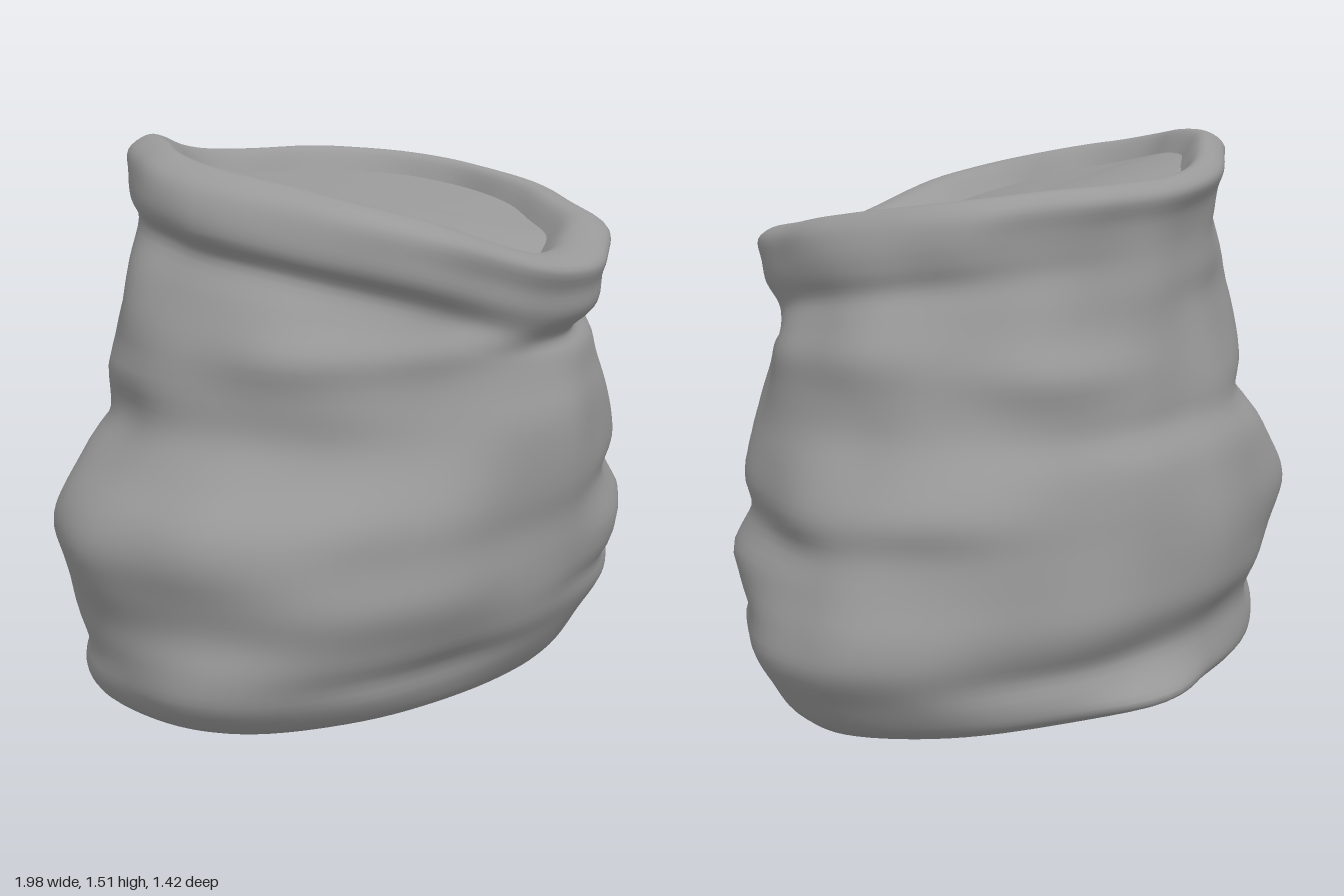
import * as THREE from 'three';

const SIDES = 96;
const TAU = Math.PI * 2;

// smooth interpolation through a list of values (u runs over list indices)
function spline(list, u, closed) {
  const n = list.length, i = Math.floor(u), t = u - i;
  const at = k => closed ? list[(k + n) % n] : list[Math.min(n - 1, Math.max(0, k))];
  const [a, b, c, d] = [at(i - 1), at(i), at(i + 1), at(i + 2)];
  return b + 0.5 * t * (c - a + t * (2 * a - 5 * b + 4 * c - d + t * (3 * (b - c) + d - a)));
}

// height of the mouth's crest around the sack, every 45 degrees from +x towards +z
const CREST = [1.36, 1.28, 1.22, 1.36, 1.46, 1.515, 1.43, 1.41];

// cross-sections: y, -x, +x, -z, +z extents, share of the mouth's slope
const CLOTH = [
  [0.025, 0.82, 0.84, 0.62, 0.53, 0],
  [0.06, 0.89, 0.89, 0.64, 0.56, 0],
  [0.13, 0.94, 0.94, 0.64, 0.60, 0],
  [0.22, 0.94, 0.99, 0.64, 0.65, 0],
  [0.31, 0.94, 0.98, 0.68, 0.68, 0],
  [0.41, 0.97, 0.94, 0.69, 0.69, 0],
  [0.51, 0.99, 0.91, 0.69, 0.69, 0],
  [0.60, 0.96, 0.90, 0.68, 0.70, 0],
  [0.70, 0.87, 0.86, 0.66, 0.70, 0],
  [0.80, 0.80, 0.81, 0.62, 0.69, 0],
  [0.90, 0.79, 0.79, 0.59, 0.66, 0.1],
  [1.00, 0.78, 0.78, 0.56, 0.64, 0.35],
  [1.09, 0.73, 0.73, 0.55, 0.63, 0.75],
  [1.16, 0.68, 0.69, 0.54, 0.64, 1],
  [1.22, 0.72, 0.70, 0.54, 0.68, 1],
  [1.28, 0.72, 0.70, 0.55, 0.69, 1],
  [1.34, 0.69, 0.68, 0.575, 0.71, 1],
  [1.375, 0.63, 0.64, 0.54, 0.65, 1],
  [1.37, 0.59, 0.60, 0.50, 0.57, 1],
  [1.31, 0.55, 0.58, 0.46, 0.50, 1],
];

// folds and bulges: angle in degrees, height, half-angle, half-height, depth
const FOLDS = [
  [68, 1.00, 22, 0.035, -0.03], [115, 1.02, 20, 0.05, 0.02],
  [50, 0.55, 22, 0.05, -0.03], [48, 0.42, 22, 0.05, 0.025],
  [55, 0.29, 26, 0.04, -0.03], [120, 0.18, 25, 0.04, -0.02],
  [162, 0.20, 15, 0.12, 0.04], [130, 0.38, 20, 0.09, 0.03],
  [140, 0.75, 18, 0.10, -0.02], [150, 1.02, 18, 0.06, 0.02],
  [15, 0.50, 16, 0.05, -0.02], [340, 0.62, 18, 0.07, 0.02],
  [290, 0.78, 28, 0.05, -0.015], [310, 0.95, 22, 0.07, 0.03],
  [235, 0.78, 22, 0.05, -0.03], [230, 0.50, 25, 0.10, 0.03],
  [255, 1.10, 25, 0.05, -0.01], [300, 0.18, 28, 0.045, -0.025],
  [290, 0.06, 14, 0.05, 0.06], [225, 0.17, 25, 0.05, -0.03],
  [205, 0.92, 18, 0.05, 0.02],
];

// point on the cloth at a given angle and section position
function clothPoint(angle, u) {
  const [y0, xl, xr, zb, zf, slope] = [0, 1, 2, 3, 4, 5].map(k => spline(CLOTH.map(r => r[k]), u, false));
  const c = Math.cos(angle), s = Math.sin(angle);
  // the left half is fuller than the right, most of all low down
  const power = c < 0 ? 0.95 : 1.07 - 0.09 * slope;
  let x = Math.sign(c) * Math.abs(c) ** power * (c < 0 ? xl : xr);
  let z = Math.sign(s) * Math.abs(s) ** power * (s < 0 ? zb : zf);
  let y = y0 + slope * (spline(CREST, angle / TAU * 8, true) - 1.37);
  let push = 0;
  for (const [deg, fy, wa, wy, depth] of FOLDS) {
    const da = ((angle * 360 / TAU - deg + 540) % 360 - 180) / wa;
    push += depth * Math.exp(-da * da - ((y - fy) / wy) ** 2);
  }
  // gentle wrinkles in the cloth
  const fade = Math.min(1, y0 / 0.15);
  push += fade * (0.005 * Math.sin(5 * angle + 7 * y) + 0.005 * Math.sin(9 * angle - 11 * y + 1)
    + 0.003 * Math.sin(14 * angle + 5 * y + 2));
  // slightly uneven bottom edge
  if (u < 2) y += 0.012 * Math.sin(2 * angle + 3.9) * (1 - u / 2);
  x += c * push;
  z += s * push;
  return [Math.max(-1, Math.min(1, x)), Math.max(0, y), z];
}

// closed loops joined into a smooth surface
function loft(rings) {
  const index = [];
  for (let r = 0; r < rings.length - 1; r++) {
    for (let i = 0; i < SIDES; i++) {
      const j = (i + 1) % SIDES, a = r * SIDES, b = a + SIDES;
      index.push(a + i, b + i, a + j, b + i, b + j, a + j);
    }
  }
  return surface(rings.flat(2), index);
}

// fan from a centre to a loop
function cap(ring, centre, up) {
  const index = [];
  for (let i = 0; i < SIDES; i++) {
    const a = i + 1, b = (i + 1) % SIDES + 1;
    index.push(0, ...(up ? [b, a] : [a, b]));
  }
  return surface([centre, ...ring].flat(), index);
}

function surface(points, index) {
  const geometry = new THREE.BufferGeometry();
  geometry.setAttribute('position', new THREE.Float32BufferAttribute(points, 3));
  geometry.setIndex(index);
  geometry.computeVertexNormals();
  return geometry;
}

export function createModel() {
  const group = new THREE.Group();
  group.name = 'sack';
  const grey = new THREE.MeshStandardMaterial({ color: 0x999999 });
  grey.name = 'grey cloth';
  const add = (name, geometry) => {
    const mesh = new THREE.Mesh(geometry, grey);
    mesh.name = name;
    group.add(mesh);
  };

  const ringAt = u => Array.from({ length: SIDES }, (_, i) => clothPoint(i / SIDES * TAU, u));
  const last = CLOTH.length - 1, steps = last * 4;
  const rings = Array.from({ length: steps + 1 }, (_, k) => ringAt(k / steps * last));

  // cloth body with the rolled mouth
  add('clothBody', loft(rings));
  // contents filling the mouth
  add('contents', cap(rings[steps], [0.02, 1.32, 0.02], true));
  // flat underside
  add('base', cap(rings[0], [0, 0.02, -0.03], false));
  return group;
}
